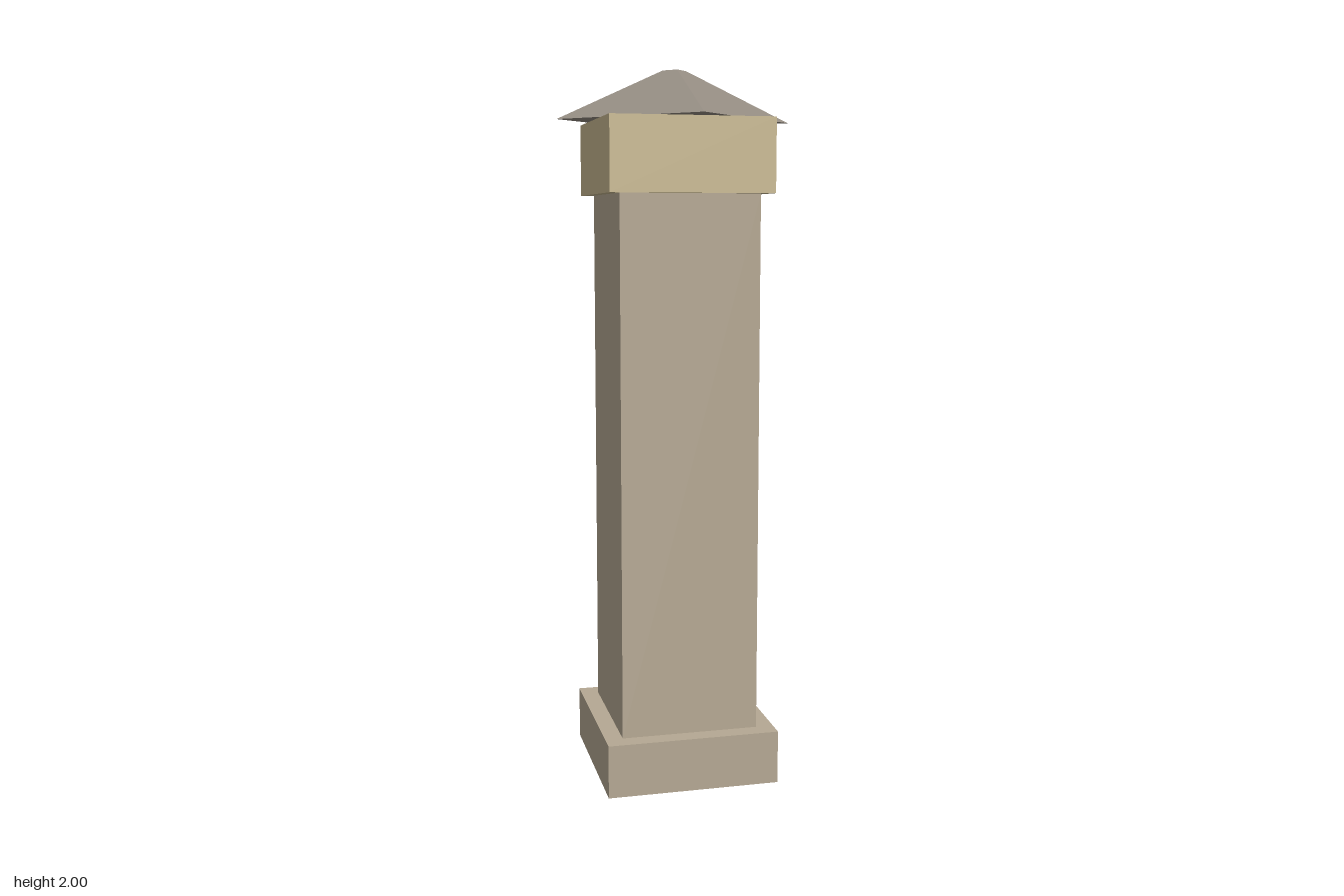
import * as THREE from 'three';

export function createModel() {
  const group = new THREE.Group();
  const material = (name, color) => {
    const m = new THREE.MeshStandardMaterial({ color });
    m.name = name;
    return m;
  };
  const stone = material('stone', 0xb5a893);
  const sandstone = material('sandstone', 0xc8b890);
  const slate = material('slate', 0x948c82);
  slate.flatShading = true;

  const add = (name, geometry, mat, bottom, height) => {
    const mesh = new THREE.Mesh(geometry, mat);
    mesh.name = name;
    mesh.position.y = bottom + height / 2;
    group.add(mesh);
  };
  // Square block standing between two heights
  const block = (name, width, bottom, top, mat) =>
    add(name, new THREE.BoxGeometry(width, top - bottom, width), mat, bottom, top - bottom);

  block('base', 0.49, 0, 0.151, stone);
  block('shaft', 0.39, 0.151, 1.661, stone);
  block('capital', 0.455, 1.661, 1.863, sandstone);

  // Truncated pyramid roof, turned 45 degrees to the shaft
  add('roof', new THREE.CylinderGeometry(0.033, 0.332, 0.137, 4), slate, 1.863, 0.137);

  return group;
}
